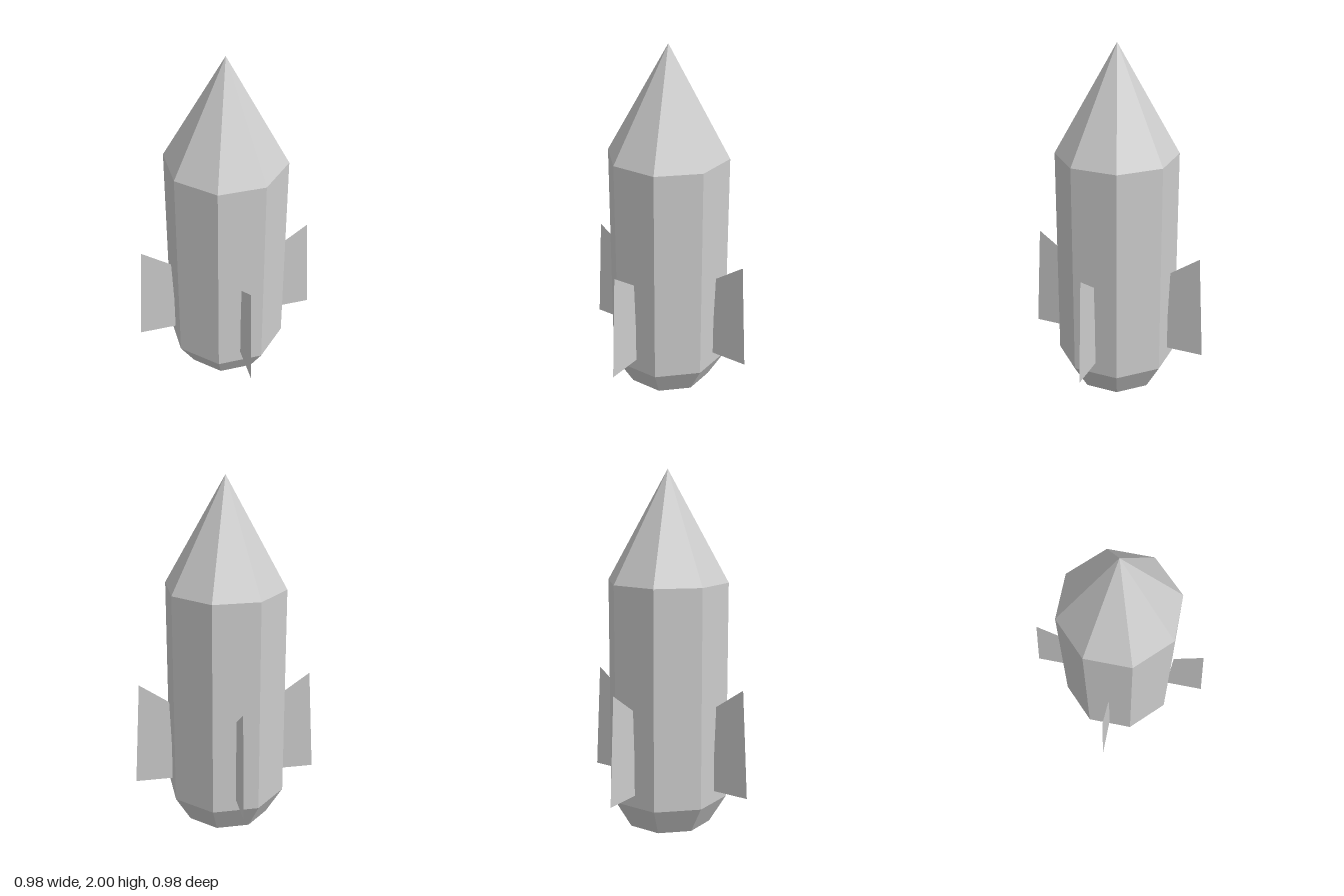
import * as THREE from 'three';

const SIDES = 8;
const RADIUS = 0.342;

export function createModel() {
  const rocket = new THREE.Group();
  rocket.name = 'rocket';

  const grey = new THREE.MeshStandardMaterial({ color: 0xcccccc, flatShading: true, side: THREE.DoubleSide });
  grey.name = 'light grey';

  // Octagonal shell from a short (radius, height) profile, listed bottom to top
  function addShell(name, profile) {
    const points = profile.map(([r, y]) => new THREE.Vector2(r, y));
    const mesh = new THREE.Mesh(new THREE.LatheGeometry(points, SIDES), grey);
    mesh.name = name;
    rocket.add(mesh);
  }

  addShell('tail', [[0, 0], [0.246, 0], [RADIUS, 0.16]]);
  addShell('hull', [[RADIUS, 0.16], [RADIUS, 1.39]]);
  addShell('noseCone', [[RADIUS, 1.39], [0, 2]]);

  // Flat swept fins standing out from the middle of every second hull face
  const outline = new THREE.Shape([
    new THREE.Vector2(0.308, 0.228),
    new THREE.Vector2(0.53, 0.228),
    new THREE.Vector2(0.495, 0.835),
    new THREE.Vector2(0.326, 0.718),
  ]);
  const finGeometry = new THREE.ShapeGeometry(outline);
  for (let i = 0; i < 4; i++) {
    const fin = new THREE.Mesh(finGeometry, grey);
    fin.name = `fin${i + 1}`;
    fin.rotation.y = -Math.PI / SIDES - i * Math.PI / 2;
    rocket.add(fin);
  }

  return rocket;
}
